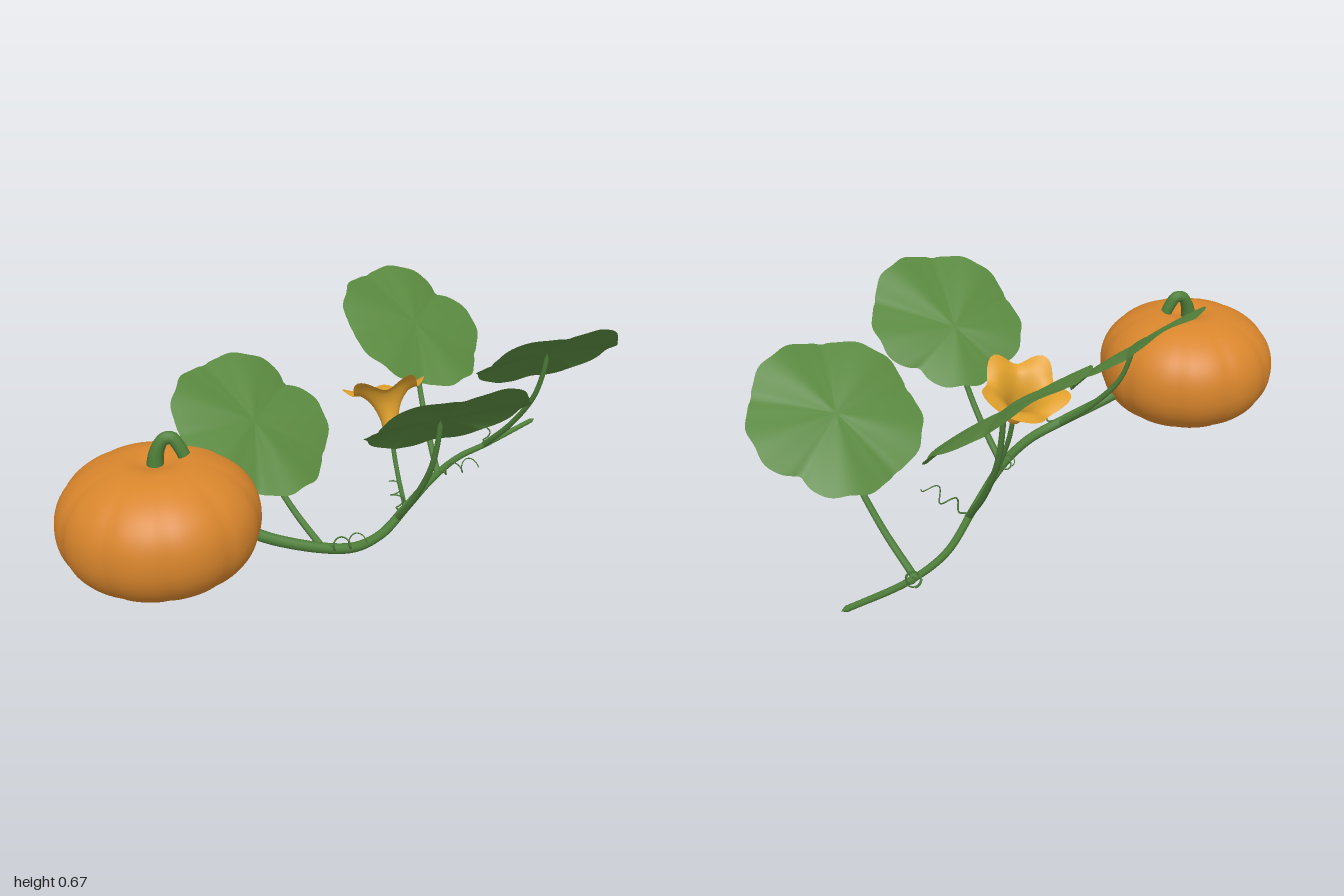
import * as THREE from 'three';
import { mergeVertices } from 'three/addons/utils/BufferGeometryUtils.js';

const material = (name, color, side = THREE.FrontSide) => {
  const m = new THREE.MeshStandardMaterial({ color, side });
  m.name = name;
  return m;
};

// Weld seams so that shading stays smooth all round
function weld(geometry) {
  geometry.deleteAttribute('uv');
  geometry.deleteAttribute('normal');
  const g = mergeVertices(geometry, 1e-5);
  g.computeVertexNormals();
  return g;
}

// Polar sheet: place(angle, t) gives a point, t runs from centre to rim
function polarSheet(segments, rings, place) {
  const g = new THREE.PlaneGeometry(1, 1, segments, rings);
  const p = g.attributes.position;
  for (let i = 0; i < p.count; i++) {
    const column = Math.round((p.getX(i) + 0.5) * segments) % segments;
    p.setXYZ(i, ...place(column / segments * Math.PI * 2, 0.5 - p.getY(i)));
  }
  return weld(g);
}

// Tube through points whose radius follows a rule; the end closes to a point
function taperTube(points, radiusAt, segments = 32, sides = 10) {
  const curve = new THREE.CatmullRomCurve3(points.map(p => new THREE.Vector3(...p)));
  const g = new THREE.TubeGeometry(curve, segments, 1, sides);
  const p = g.attributes.position, v = new THREE.Vector3();
  for (let i = 0; i < p.count; i++) {
    const ring = Math.floor(i / (sides + 1));
    const t = ring / segments;
    const c = curve.getPointAt(t);
    v.fromBufferAttribute(p, i).sub(c).multiplyScalar(ring === segments ? 0.0001 : radiusAt(t)).add(c);
    p.setXYZ(i, v.x, v.y, v.z);
  }
  return g;
}

// Flattened ball with shallow ribs and a dip around the stem
function pumpkinGeometry() {
  const g = new THREE.SphereGeometry(1, 96, 40);
  const p = g.attributes.position;
  for (let i = 0; i < p.count; i++) {
    const x = p.getX(i), y = p.getY(i), z = p.getZ(i);
    const flat = Math.hypot(x, z), angle = Math.atan2(z, x);
    const groove = Math.pow(1 - Math.abs(Math.sin(angle * 5)), 2);
    const r = 0.309 * Math.pow(flat, 0.82) * (1 - 0.024 * groove);
    const h = 0.205 * Math.sign(y) * Math.pow(Math.abs(y), 0.93);
    const dip = y > 0 ? 0.03 * Math.exp(-Math.pow(r / 0.06, 2)) : 0;
    p.setXYZ(i, r * Math.cos(angle), 0.205 + h - dip, r * Math.sin(angle));
  }
  return weld(g);
}

// Five-lobed leaf with a notch, scalloped edge and gentle folds;
// slide moves the rim away from the point where the stalk joins
function leafGeometry(size, slide) {
  return polarSheet(120, 10, (angle, t) => {
    let a = angle - 0.6;
    if (a > Math.PI) a -= Math.PI * 2;
    const lobe = Math.abs(Math.sin(a * 2.5));
    const edge = 0.972 - 0.08 * Math.pow(1 - lobe, 2) - 0.09 * Math.exp(-Math.pow(a / 0.14, 2))
      + 0.012 * Math.cos(a * 15);
    const r = size * t * (1 + (edge - 1) * t);
    const fold = size * t * (0.07 * (lobe - 0.5) + 0.008 * Math.cos(a * 10) - 0.07 * t);
    return [r * Math.cos(angle), fold, -r * Math.sin(angle) + slide * t];
  });
}

// Trumpet with five pointed petals
function blossomGeometry() {
  const profile = new THREE.SplineCurve([
    [0.014, 0], [0.026, 0.02], [0.032, 0.06], [0.052, 0.11], [0.087, 0.148], [0.13, 0.162],
  ].map(q => new THREE.Vector2(...q)));
  return polarSheet(60, 20, (angle, t) => {
    const q = profile.getPoint(t);
    const petal = Math.cos(5 * (angle - 0.17));
    const r = q.x * (1 + t * t * t * 0.12 * petal);
    return [r * Math.cos(angle), q.y + 0.018 * t * t * t * petal, r * Math.sin(angle)];
  });
}

// Loose spring that winds around the line from start to end
function tendrilGeometry(start, end) {
  const a = new THREE.Vector3(...start), b = new THREE.Vector3(...end);
  const axis = b.clone().sub(a).normalize();
  const side = new THREE.Vector3(0, 1, 0).cross(axis).normalize();
  const up = axis.clone().cross(side);
  const points = [];
  for (let i = 0; i <= 40; i++) {
    const t = i / 40, w = t * Math.PI * 5;
    const r = 0.021 * Math.min(1, t * 3);
    points.push(a.clone().lerp(b, t).addScaledVector(side, r * Math.sin(w))
      .addScaledVector(up, r * Math.cos(w)).toArray());
  }
  return taperTube(points, t => 0.003 - 0.0012 * t, 110, 5);
}

export function createModel() {
  const model = new THREE.Group();
  model.name = 'pumpkinPlant';
  const orange = material('pumpkin orange', 0xd8852c);
  const leafGreen = material('leaf green', 0x58873e, THREE.DoubleSide);
  const vineGreen = material('vine green', 0x4f7f3a);
  const tendrilGreen = material('tendril green', 0x4a7838);
  const yellow = material('blossom yellow', 0xe0a02c, THREE.DoubleSide);

  const add = (name, geometry, mat, parent = model) => {
    const mesh = new THREE.Mesh(geometry, mat);
    mesh.name = name;
    parent.add(mesh);
    return mesh;
  };

  // Fruit and its hooked stem
  add('pumpkin', pumpkinGeometry(), orange).position.set(-0.692, 0, -0.022);
  add('pumpkinStem', taperTube(
    [[-0.692, 0.35, -0.025], [-0.685, 0.42, -0.025], [-0.663, 0.463, -0.018],
      [-0.64, 0.466, -0.008], [-0.622, 0.437, 0.004], [-0.61, 0.405, 0.012]],
    t => 0.029 - 0.009 * Math.min(1, t * 2)), vineGreen);

  // Main vine
  add('vine', taperTube(
    [[-0.46, 0.15, 0.05], [-0.4, 0.11, 0.09], [-0.23, 0.05, 0.155], [-0.12, 0.027, 0.172],
      [0, 0.022, 0.14], [0.16, 0.037, 0.05], [0.35, 0.042, -0.07], [0.56, 0.028, -0.19],
      [0.72, 0.028, -0.228], [0.97, 0.063, -0.255]],
    t => 0.019 - 0.01 * t, 80), vineGreen);

  // Leaves: base of stalk, stalk joint on blade, size, tilt, slide
  [
    [[-0.225, 0.045, 0.155], [-0.32, 0.41, -0.105], 0.275, 0.67, 0],
    [[0.095, 0.03, 0.09], [0.103, 0.468, 0.31], 0.268, -0.68, 0.045],
    [[0.395, 0.04, -0.095], [0.454, 0.528, -0.342], 0.281, 0.63, 0],
    [[0.7, 0.028, -0.225], [0.746, 0.473, 0.047], 0.262, -0.66, 0],
  ].forEach(([base, top, size, tilt, slide]) => {
    const leaf = new THREE.Group();
    leaf.name = 'leaf';
    model.add(leaf);
    const blade = add('leafBlade', leafGeometry(size, slide), leafGreen, leaf);
    blade.position.set(...top);
    blade.rotation.set(tilt, 0, -0.12);
    const along = (s, h) => [
      base[0] + (top[0] - base[0]) * s, base[1] + (top[1] - base[1]) * h, base[2] + (top[2] - base[2]) * s];
    add('leafStalk', taperTube([base, along(0.45, 0.28), along(0.82, 0.6), along(0.96, 0.85), top],
      t => 0.012 - 0.004 * t, 30, 8), vineGreen, leaf);
  });

  // Blossom on its stalk
  add('blossomStalk', taperTube(
    [[0.155, 0.035, 0.055], [0.155, 0.12, 0.015], [0.158, 0.2, -0.02], [0.16, 0.285, -0.045]],
    () => 0.008, 20, 8), vineGreen);
  const blossom = add('blossom', blossomGeometry(), yellow);
  blossom.position.set(0.16, 0.272, -0.04);
  blossom.rotation.set(-0.47, 0, -0.09);

  // Curled tendrils
  [
    [[-0.22, 0.05, 0.16], [-0.155, 0.125, 0.285]],
    [[0.12, 0.04, 0.07], [0.16, 0.12, -0.02]],
    [[0.39, 0.045, -0.095], [0.46, 0.125, 0.04]],
    [[0.71, 0.03, -0.225], [0.78, 0.115, -0.335]],
  ].forEach(([start, end]) => add('tendril', tendrilGeometry(start, end), tendrilGreen));

  return model;
}
